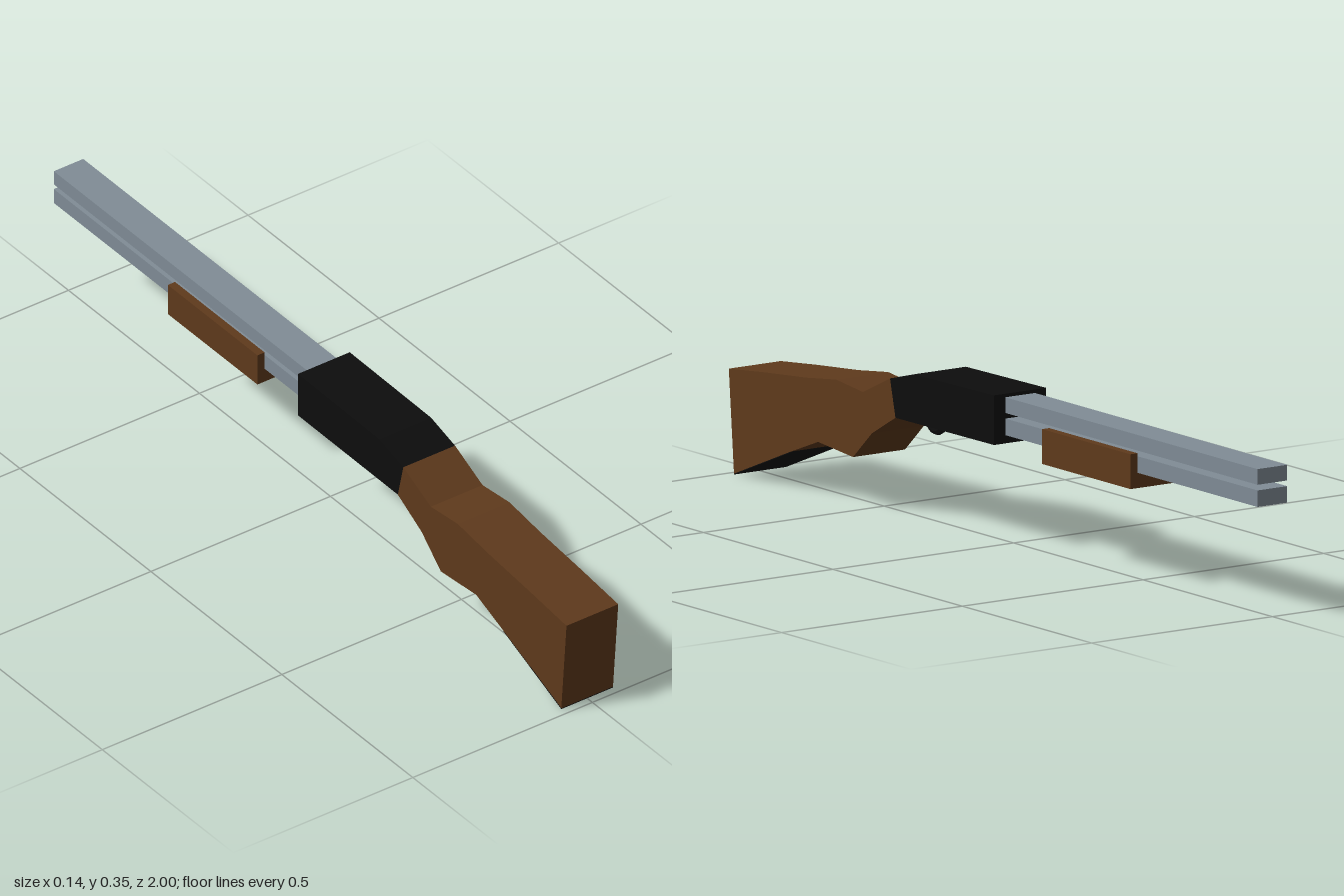
import * as THREE from 'three';

const paint = (color) => new THREE.MeshStandardMaterial({ color, flatShading: true });

export function createModel() {
  const group = new THREE.Group();
  const wood = paint(0x5f3a1c);
  const steel = paint(0x808c96);
  const black = paint(0x0d0d0d);

  function add(name, geometry, material) {
    const mesh = new THREE.Mesh(geometry, material);
    mesh.name = name;
    group.add(mesh);
    return mesh;
  }

  // Side profile given as [z, y] points, extruded across x
  function slab(points, width) {
    const shape = new THREE.Shape(points.map(([z, y]) => new THREE.Vector2(z, y)));
    return new THREE.ExtrudeGeometry(shape, { depth: width, bevelEnabled: false })
      .translate(0, 0, -width / 2)
      .rotateY(-Math.PI / 2);
  }

  // Box given by its half width and its y and z ranges
  function block(halfWidth, y0, y1, z0, z1) {
    return new THREE.BoxGeometry(halfWidth * 2, y1 - y0, z1 - z0)
      .translate(0, (y0 + y1) / 2, (z0 + z1) / 2);
  }

  // Stock with its narrow wrist
  add('stock', slab([
    [0.98, 0.002], [1.0, 0.24], [0.86, 0.255], [0.70, 0.27], [0.585, 0.285],
    [0.482, 0.274], [0.377, 0.323], [0.356, 0.236], [0.447, 0.185],
    [0.52, 0.118], [0.655, 0.13], [0.76, 0.09],
  ], 0.144), wood);

  // Dark strip under the butt
  add('buttPlate', slab([[0.98, 0], [0.98, 0.003], [0.76, 0.091], [0.76, 0.088]], 0.144), black);

  // Receiver
  add('receiver', slab([
    [0.377, 0.323], [0.285, 0.348], [-0.025, 0.352], [-0.025, 0.238], [0.356, 0.236],
  ], 0.144), black);

  // Ring-shaped trigger guard
  add('triggerGuard', new THREE.TorusGeometry(0.03, 0.01, 8, 20)
    .rotateY(Math.PI / 2).translate(0, 0.238, 0.297), black);

  // Two stacked square barrels
  add('upperBarrel', block(0.041, 0.308, 0.344, -1, -0.02), steel);
  add('lowerBarrel', block(0.041, 0.257, 0.295, -1, -0.02), steel);

  // Grip wrapped around the lower barrel
  const forend = new THREE.Group();
  forend.name = 'forend';
  group.add(forend);
  const base = add('forendBase', block(0.061, 0.222, 0.257, -0.537, -0.195), wood);
  forend.add(base);
  for (const side of [-1, 1]) {
    const wall = add('forendWall', block(0.01, 0.257, 0.302, -0.537, -0.195), wood);
    wall.position.x = side * 0.051;
    forend.add(wall);
  }

  return group;
}
